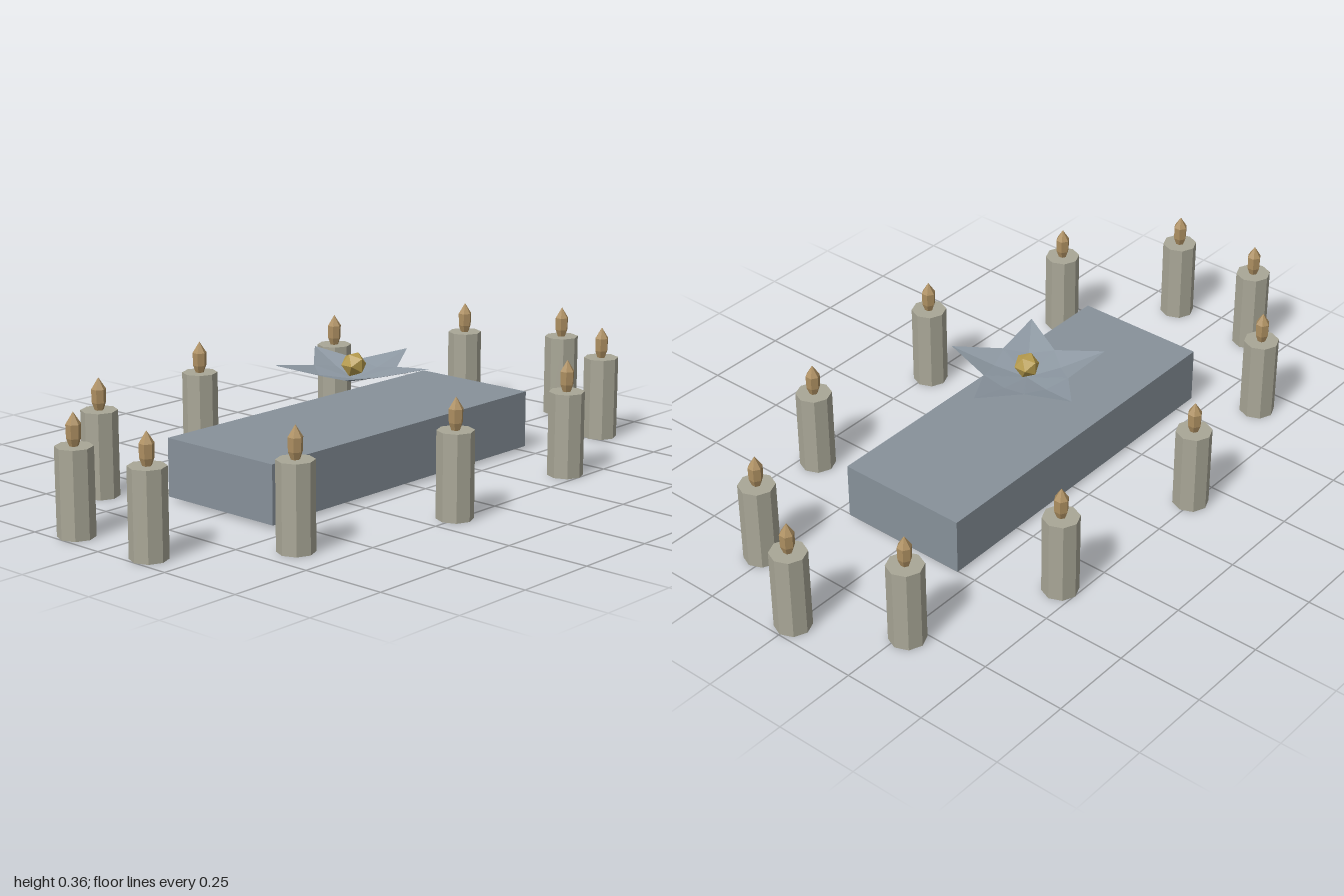
import * as THREE from 'three';

const CX = -0.022; // ring and slab centre

function material(name, color) {
  const m = new THREE.MeshStandardMaterial({ color });
  m.name = name;
  return m;
}

function part(name, geometry, mat, x = 0, y = 0, z = 0) {
  const flat = geometry.index ? geometry.toNonIndexed() : geometry;
  flat.computeVertexNormals(); // faceted look
  const mesh = new THREE.Mesh(flat, mat);
  mesh.name = name;
  mesh.position.set(x, y, z);
  return mesh;
}

// Folded kite-shaped petal pointing along +x, rising to the tip
function petalGeometry() {
  const base = [0, 0, 0], rib = [0.1, 0.016, 0], tip = [0.23, 0.05, 0];
  const left = [0.1, 0.028, 0.075], right = [0.1, 0.028, -0.075];
  const faces = [base, left, rib, base, rib, right, rib, left, tip, rib, tip, right];
  const g = new THREE.BufferGeometry();
  g.setAttribute('position', new THREE.Float32BufferAttribute(faces.flat(), 3));
  return g;
}

export function createModel() {
  const stone = material('slate', 0x87919a);
  const petalMat = material('petal grey', 0x8d98a2);
  petalMat.side = THREE.DoubleSide;
  const wax = material('wax', 0xa9a797);
  const flameMat = material('flame amber', 0xae9062);
  const gold = material('gold', 0xb89d4e);

  const model = new THREE.Group();
  model.name = 'candleRing';

  // Stone slab
  model.add(part('slab', new THREE.BoxGeometry(1.075, 0.168, 0.4), stone, CX - 0.003, 0.095, 0));

  // Flower floating above the slab
  const flower = new THREE.Group();
  flower.name = 'flower';
  flower.position.set(CX - 0.003, 0.282, 0);
  for (let i = 0; i < 5; i++) {
    const petal = part('petal', petalGeometry(), petalMat);
    petal.rotation.y = (i * Math.PI * 2) / 5;
    flower.add(petal);
  }
  flower.add(part('flowerCentre', new THREE.IcosahedronGeometry(0.037, 0), gold, 0, 0.042, 0));
  model.add(flower);

  // Oval ring of eleven candles
  const flameProfile = [[0, 0], [0.012, 0], [0.02, 0.022], [0.021, 0.06], [0, 0.093]]
    .map(([r, y]) => new THREE.Vector2(r, y));
  for (let i = 0; i < 11; i++) {
    const a = (i * Math.PI * 2) / 11;
    const candle = new THREE.Group();
    candle.name = 'candle';
    candle.position.set(CX + Math.cos(a) * 0.967, 0, Math.sin(a) * 0.496);
    candle.add(part('candleBody', new THREE.CylinderGeometry(0.052, 0.052, 0.246, 8), wax, 0, 0.123, 0));
    candle.add(part('flame', new THREE.LatheGeometry(flameProfile, 6), flameMat, 0, 0.245, 0));
    model.add(candle);
  }
  return model;
}
